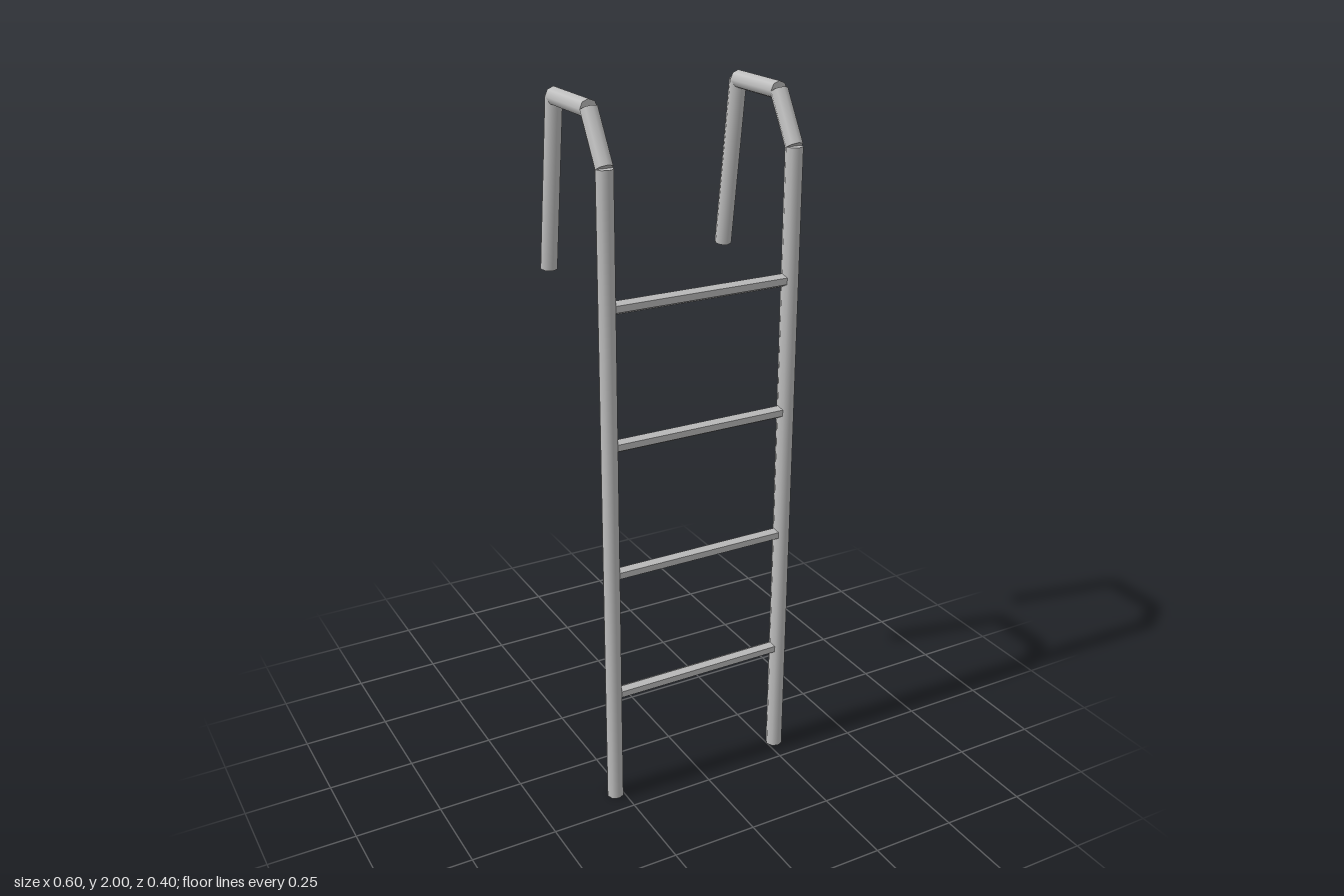
import * as THREE from 'three';

const steel = new THREE.MeshStandardMaterial({ color: 0xc0c0c0 });
steel.name = 'light grey steel';
const flatSteel = steel.clone(); // same colour, faceted rungs
flatSteel.name = 'light grey steel faceted';
flatSteel.flatShading = true;

const RAIL_X = 0.274, RAIL_Z = 0.176, RAIL_R = 0.0245;

// Straight eight-sided pipe between two points
function pipe(name, a, b) {
  const dir = b.clone().sub(a);
  const mesh = new THREE.Mesh(new THREE.CylinderGeometry(RAIL_R, RAIL_R, dir.length(), 8), steel);
  mesh.name = name;
  mesh.position.copy(a).add(b).multiplyScalar(0.5);
  mesh.quaternion.setFromUnitVectors(new THREE.Vector3(0, 1, 0), dir.normalize());
  return mesh;
}

// Side rail: upright, then a hook bending back and down
function rail(name, x) {
  const group = new THREE.Group();
  group.name = name;
  const path = [[0, RAIL_Z], [1.845, RAIL_Z], [1.976, 0.096], [1.976, -0.11], [1.505, -0.177]]
    .map(([y, z]) => new THREE.Vector3(x, y, z));
  ['upright', 'hookSlope', 'hookTop', 'hookEnd'].forEach((part, i) => {
    group.add(pipe(part, path[i], path[i + 1]));
  });
  return group;
}

export function createModel() {
  const model = new THREE.Group();
  model.name = 'hookLadder';
  model.add(rail('leftRail', RAIL_X), rail('rightRail', -RAIL_X));

  // Hexagonal rungs with an edge on top
  const rungGeometry = new THREE.CylinderGeometry(0.0185, 0.0185, 0.52, 6, 1, false, Math.PI / 2);
  rungGeometry.rotateZ(Math.PI / 2);
  for (let i = 0; i < 4; i++) {
    const rung = new THREE.Mesh(rungGeometry, flatSteel);
    rung.name = `rung${i + 1}`;
    rung.position.set(0, 0.345 + i * 0.381, RAIL_Z);
    model.add(rung);
  }
  return model;
}
